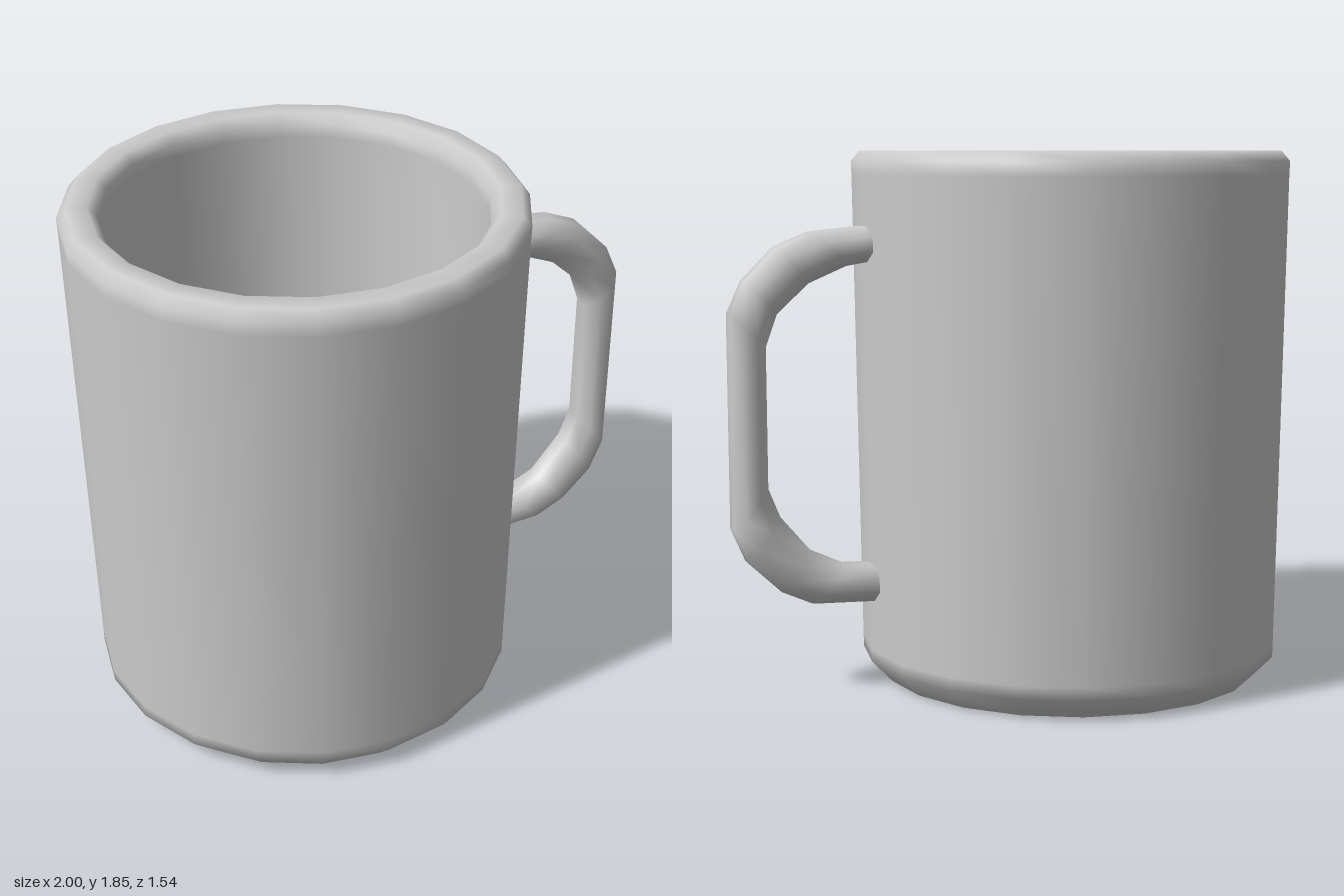
import * as THREE from 'three';

const material = new THREE.MeshStandardMaterial({ color: 0xcccccc });
const CUP_X = -0.23;

// Cup: one closed profile turned in 20 sides; extra points near corners keep the bevels tight
function createCup() {
  const profile = [
    [0, 0], [0.62, 0], [0.67, 0], [0.742, 0.075], [0.743, 0.12],
    [0.768, 1.77], [0.77, 1.815], [0.74, 1.85], [0.67, 1.85],
    [0.64, 1.815], [0.638, 1.77], [0.612, 0.22], [0.605, 0.17], [0.54, 0.1], [0.49, 0.1], [0, 0.1],
  ].map(([r, y]) => new THREE.Vector2(r, y));
  const cup = new THREE.Mesh(new THREE.LatheGeometry(profile, 20), material);
  cup.name = 'cup';
  cup.position.x = CUP_X;
  return cup;
}

// Handle: octagonal sections set between an outer and an inner outline
function createHandle() {
  // outer x, outer y, inner x, inner y, half width
  const sections = [
    [0.50, 1.60, 0.50, 1.475, 0.086],
    [0.56, 1.595, 0.54, 1.475, 0.084],
    [0.72, 1.58, 0.60, 1.465, 0.077],
    [0.84, 1.53, 0.73, 1.41, 0.073],
    [0.95, 1.42, 0.84, 1.31, 0.072],
    [1.00, 1.31, 0.88, 1.20, 0.072],
    [1.00, 0.58, 0.88, 0.72, 0.072],
    [0.95, 0.465, 0.84, 0.62, 0.072],
    [0.84, 0.36, 0.73, 0.49, 0.072],
    [0.73, 0.31, 0.61, 0.435, 0.073],
    [0.48, 0.30, 0.48, 0.43, 0.074],
  ];
  const sides = 8;
  const apothem = Math.cos(Math.PI / sides);
  const positions = [];
  const indices = [];
  sections.forEach(([ox, oy, ix, iy, w], i) => {
    for (let j = 0; j < sides; j++) {
      const a = ((j + 0.5) / sides) * Math.PI * 2;
      const c = Math.cos(a) / apothem / 2;
      positions.push(
        (ox + ix) / 2 + (ox - ix) * c,
        (oy + iy) / 2 + (oy - iy) * c,
        (w * Math.sin(a)) / apothem,
      );
      if (i === sections.length - 1) continue;
      const p = i * sides + j;
      const q = i * sides + ((j + 1) % sides);
      indices.push(p, q, p + sides, q, q + sides, p + sides);
    }
  });
  const geometry = new THREE.BufferGeometry();
  geometry.setAttribute('position', new THREE.Float32BufferAttribute(positions, 3));
  geometry.setIndex(indices);
  geometry.computeVertexNormals();
  const handle = new THREE.Mesh(geometry, material);
  handle.name = 'handle';
  return handle;
}

export function createModel() {
  const mug = new THREE.Group();
  mug.name = 'mug';
  mug.add(createCup(), createHandle());
  return mug;
}
